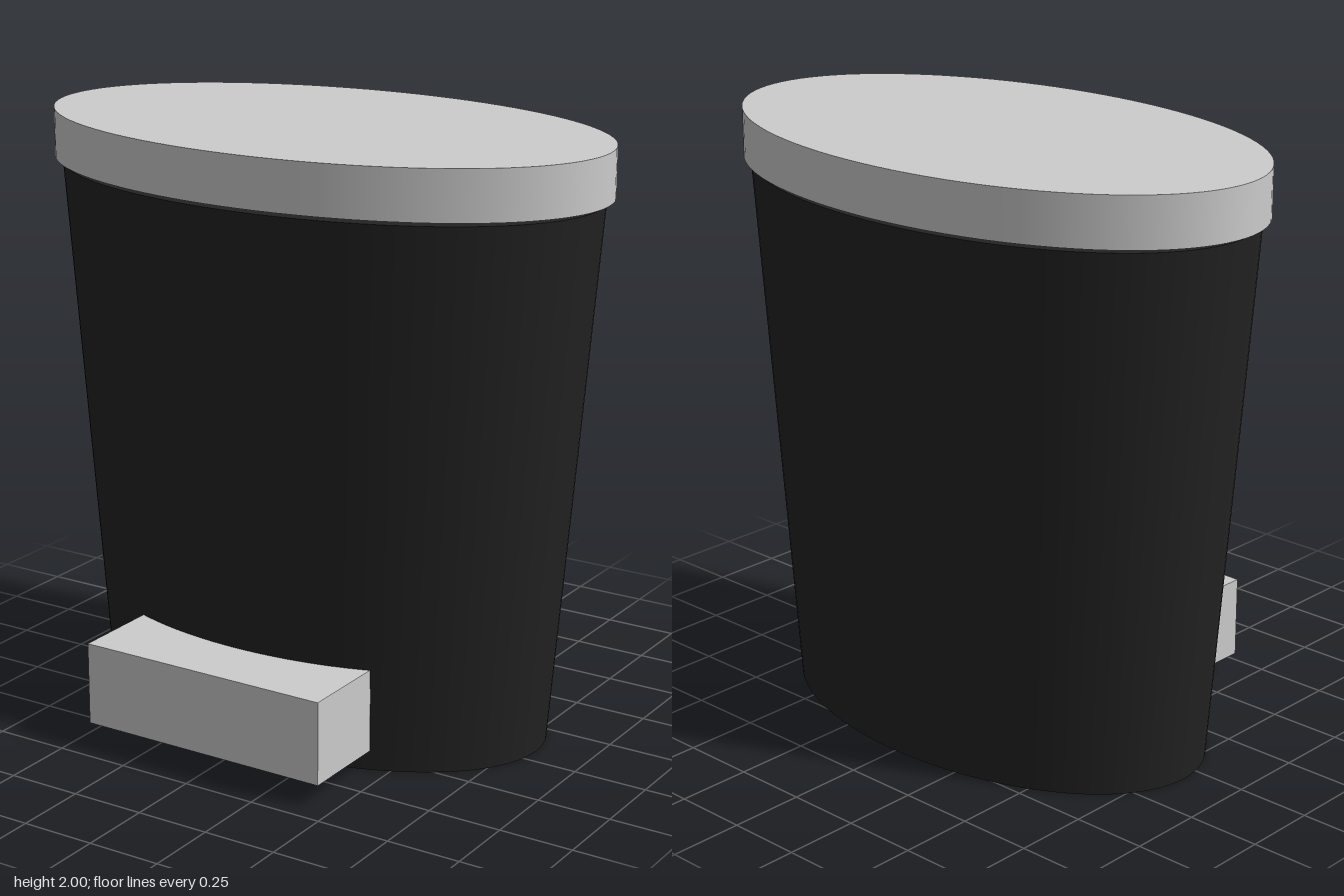
import * as THREE from 'three';

const CENTER_Z = -0.07;

// Closed oval tapered drum from y0 to y1; the z scale sets the depth of the oval
function ovalDrum(name, rTop, rBottom, y0, y1, depthRatio, material) {
  const geometry = new THREE.CylinderGeometry(rTop, rBottom, y1 - y0, 96);
  geometry.scale(1, 1, depthRatio);
  geometry.computeBoundingBox();
  const mesh = new THREE.Mesh(geometry, material);
  mesh.name = name;
  mesh.position.set(0, (y0 + y1) / 2, CENTER_Z);
  return mesh;
}

export function createModel() {
  const model = new THREE.Group();
  model.name = 'pedalBin';
  const grey = new THREE.MeshStandardMaterial({ color: 0xcccccc });
  const black = new THREE.MeshStandardMaterial({ color: 0x222222 });

  // Tapered oval bin and the lid hovering just above its rim
  model.add(ovalDrum('binBody', 0.97, 0.82, 0, 1.82, 0.597, black));
  model.add(ovalDrum('lid', 1, 1, 1.835, 2, 0.595, grey));

  // Foot pedal block, its back sunk into the bin wall
  const pedal = new THREE.Mesh(new THREE.BoxGeometry(0.89, 0.28, 0.31), grey);
  pedal.name = 'footPedal';
  pedal.position.set(0, 0.213, 0.512);
  model.add(pedal);

  return model;
}
